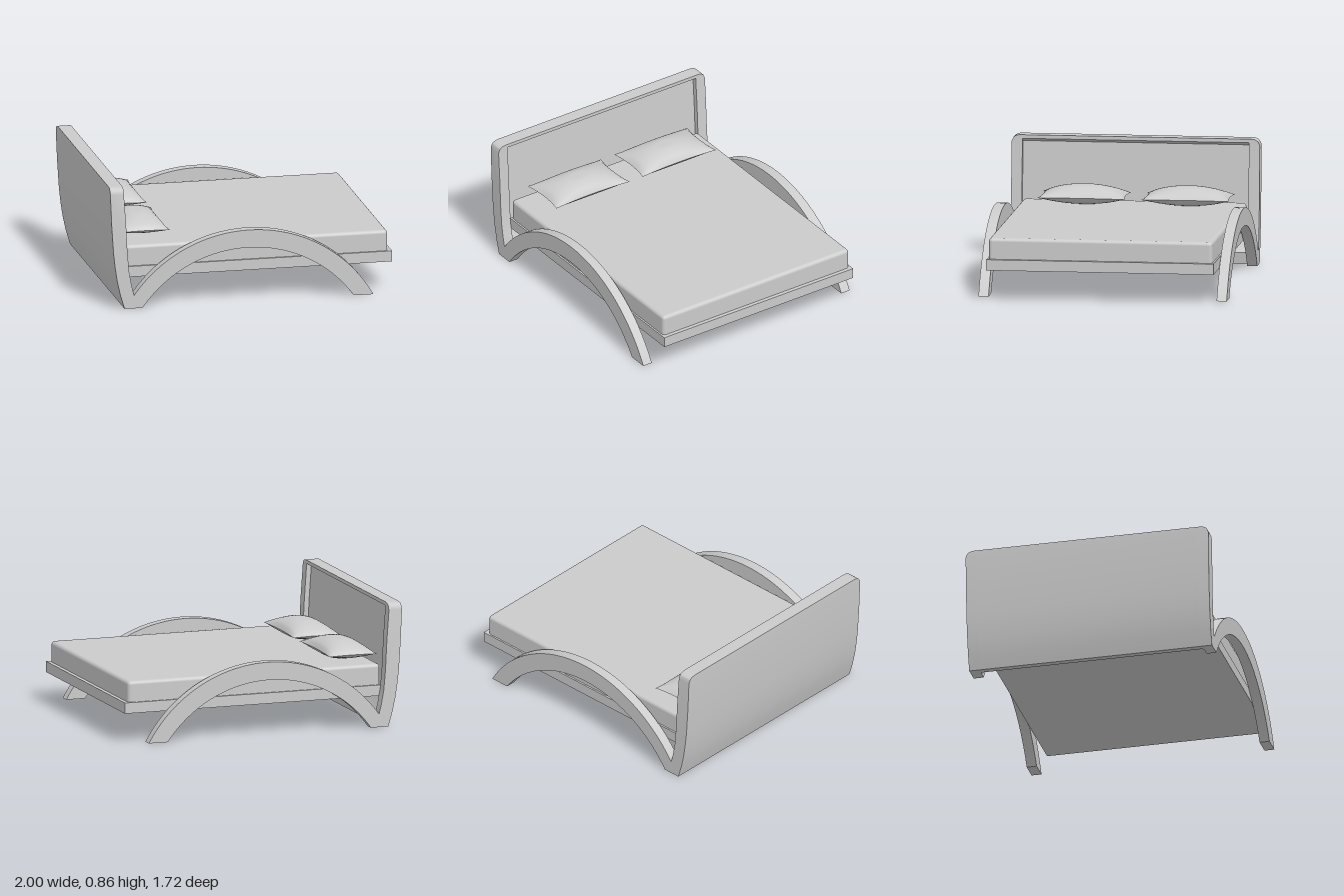
import * as THREE from 'three';
import { mergeGeometries, toCreasedNormals } from 'three/addons/utils/BufferGeometryUtils.js';
import { RoundedBoxGeometry } from 'three/addons/geometries/RoundedBoxGeometry.js';

const grey = new THREE.MeshStandardMaterial({ color: 0xcccccc });

function add(group, name, geometry, x = 0, y = 0, z = 0) {
  const mesh = new THREE.Mesh(geometry, grey);
  mesh.name = name;
  mesh.position.set(x, y, z);
  group.add(mesh);
  return mesh;
}

// Side profile (x, y) swept along z from z0 to z1
function sweep(shape, z0, z1, steps = 1) {
  const g = new THREE.ExtrudeGeometry(shape, { depth: z1 - z0, steps, bevelEnabled: false, curveSegments: 24 });
  return g.translate(0, 0, z0);
}

const polygon = (pts) => new THREE.Shape(pts.map(([x, y]) => new THREE.Vector2(x, y)));

// Outer (back) and inner (bed side) curves of the headboard
const backCurve = [[-0.9, 0], [-0.93, 0.1], [-0.952, 0.2], [-0.967, 0.3], [-0.978, 0.4], [-0.991, 0.6], [-1, 0.81], [-1, 0.86]];
const innerCurve = [[-0.89, 0.6], [-0.88, 0.4], [-0.868, 0.26], [-0.85, 0.16], [-0.83, 0.08]];

// Lowers the top edge near the ends to round the headboard corners
function roundCorners(g) {
  const p = g.attributes.position;
  for (let i = 0; i < p.count; i++) {
    const t = Math.max(0, (Math.abs(p.getZ(i)) - 0.8) / 0.06);
    p.setY(i, Math.min(p.getY(i), 0.815 + 0.045 * Math.sqrt(Math.max(0, 1 - t * t))));
  }
  return g;
}

function headboard() {
  const group = new THREE.Group();
  group.name = 'headboard';
  const sideShape = polygon([...backCurve, [-0.905, 0.86], [-0.905, 0.81], ...innerCurve, [-0.835, 0]]);
  for (const s of [-1, 1]) {
    const g = roundCorners(sweep(sideShape, s > 0 ? 0.785 : -0.86, s > 0 ? 0.86 : -0.785, 6));
    add(group, s > 0 ? 'leftPost' : 'rightPost', toCreasedNormals(g, 0.5));
  }
  // Recessed panel with the top rail and the bottom bar
  const recessed = innerCurve.slice(0, 4).map(([x, y]) => [x - 0.035, y]);
  const panelShape = polygon([...backCurve, [-0.905, 0.86], [-0.905, 0.835], [-0.94, 0.815],
    ...recessed, [-0.84, 0.08], [-0.855, 0]]);
  add(group, 'headboardPanel', toCreasedNormals(sweep(panelShape, -0.785, 0.785), 0.4));
  return group;
}

// Arched side rail whose rear foot joins the headboard
function archGeometry(z0, z1) {
  const shape = new THREE.Shape();
  shape.absarc(-0.02, -0.49, 1, 0.512, Math.PI - 0.607, false);
  shape.lineTo(-0.842, 0);
  shape.absarc(-0.03, -0.525, 0.91, Math.PI - 0.615, 0.615, true);
  shape.closePath();
  return toCreasedNormals(sweep(shape, z0, z1), 0.5);
}

// Plump cushion: two bulged sheets sharing a seam, with pulled-out corners
function pillowGeometry() {
  const halves = [0.075, -0.055].map((height) => {
    const g = new THREE.PlaneGeometry(2, 2, 20, 28).rotateX(height > 0 ? -Math.PI / 2 : Math.PI / 2);
    const p = g.attributes.position;
    for (let i = 0; i < p.count; i++) {
      const u = p.getX(i), v = p.getZ(i);
      const fu = Math.max(0, 1 - u * u), fv = Math.max(0, 1 - v * v);
      const bulge = Math.min(1, 1.05 * Math.pow(fu * fv, 0.6));
      p.setXYZ(i, 0.175 * u * (1 - 0.1 * fv), height * bulge, 0.305 * v * (1 - 0.06 * fu));
    }
    g.computeVertexNormals();
    return g;
  });
  return mergeGeometries(halves);
}

export function createModel() {
  const model = new THREE.Group();
  model.name = 'bed';
  model.add(headboard());

  add(model, 'leftArch', archGeometry(0.79, 0.86));
  add(model, 'rightArch', archGeometry(-0.86, -0.79));

  // Platform and mattress
  add(model, 'bedBase', new THREE.BoxGeometry(1.87, 0.075, 1.575), 0.065, 0.2425, 0);
  add(model, 'mattress', new RoundedBoxGeometry(1.845, 0.19, 1.55, 4, 0.025), 0.05, 0.33, 0);

  const pillow = pillowGeometry();
  add(model, 'leftPillow', pillow, -0.705, 0.48, 0.33);
  add(model, 'rightPillow', pillow, -0.705, 0.48, -0.39);
  return model;
}
